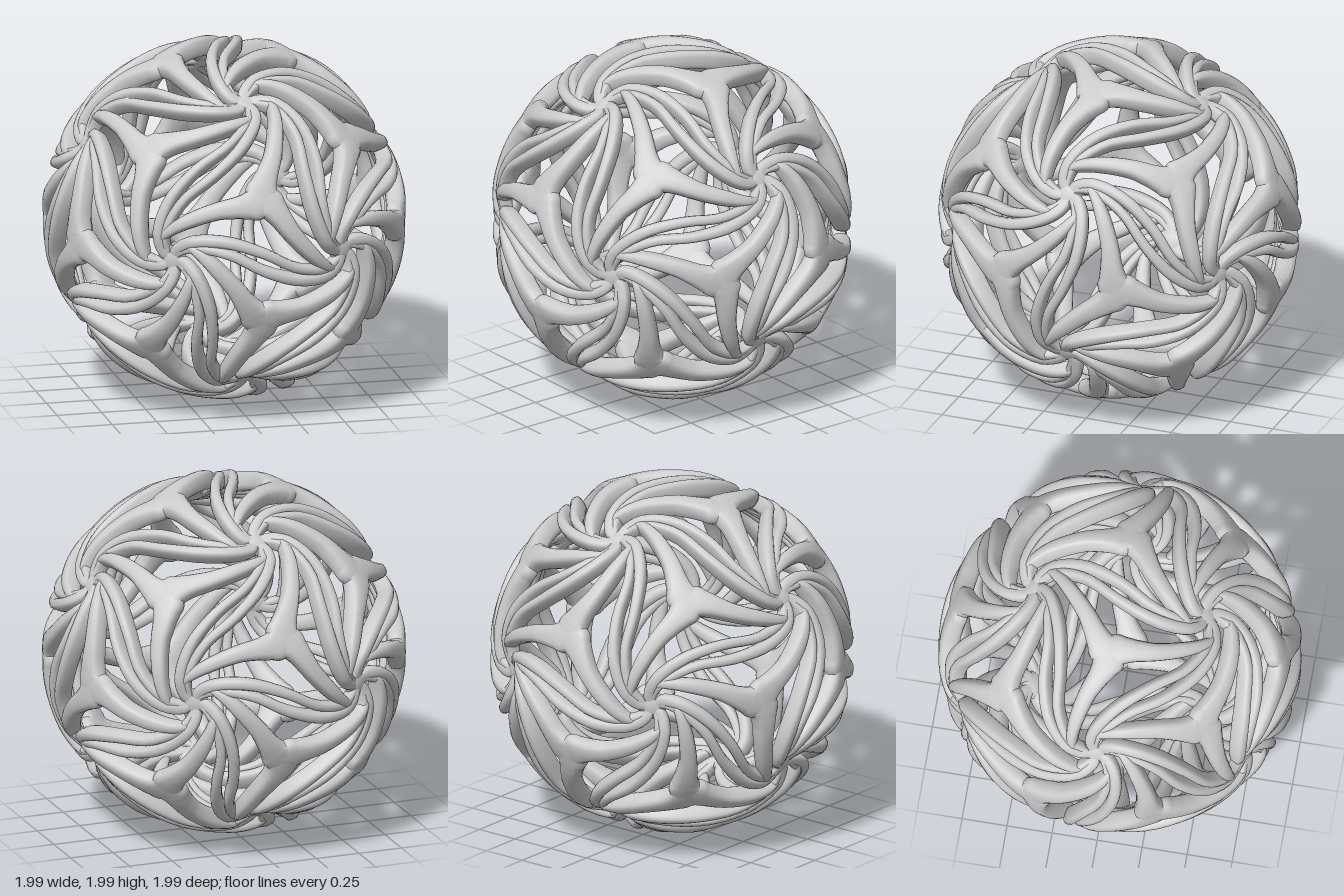
import * as THREE from 'three';

// Swept blade on a sphere. Each key: [along angle, sideways angle, radius, half width, half depth]
function blade(keys, rows = 28, sides = 16) {
  const toPoint = ([s, w, r]) => new THREE.Vector3(
    Math.sin(s) * Math.cos(w), Math.sin(w), Math.cos(s) * Math.cos(w)).multiplyScalar(r);
  const path = new THREE.CatmullRomCurve3(keys.map(toPoint));
  const size = new THREE.CatmullRomCurve3(keys.map(k => new THREE.Vector3(k[3], k[4], 0)));
  const round = x => Math.sign(x) * Math.pow(Math.abs(x), 0.72);
  const pos = [], index = [];
  for (let i = 0; i <= rows; i++) {
    const t = i / rows;
    const p = path.getPoint(t), tangent = path.getTangent(t);
    const out = p.clone().normalize();
    const side = out.clone().cross(tangent).normalize();
    const { x: hw, y: hd } = size.getPoint(t);
    for (let k = 0; k < sides; k++) {
      const a = (k / sides) * Math.PI * 2;
      const q = p.clone()
        .addScaledVector(side, hw * round(Math.cos(a)))
        .addScaledVector(out, hd * round(Math.sin(a)));
      pos.push(q.x, q.y, q.z);
    }
  }
  for (let i = 0; i < rows; i++) {
    for (let k = 0; k < sides; k++) {
      const a = i * sides + k, b = i * sides + (k + 1) % sides;
      index.push(a, b, a + sides, b, b + sides, a + sides);
    }
  }
  const g = new THREE.BufferGeometry();
  g.setAttribute('position', new THREE.Float32BufferAttribute(pos, 3));
  g.setIndex(index);
  g.computeVertexNormals();
  return g;
}

export function createModel() {
  const model = new THREE.Group();
  model.name = 'swirlingSphere';
  const ball = new THREE.Group();
  ball.name = 'lattice';
  ball.position.y = 1;
  model.add(ball);
  const material = new THREE.MeshStandardMaterial({ color: 0xcccccc, side: THREE.DoubleSide });

  // Place a part with its local z pointing out along n and its local x toward u
  function place(geometry, name, n, u) {
    const mesh = new THREE.Mesh(geometry, material);
    const z = n.clone().normalize();
    const x = u.clone().addScaledVector(z, -u.dot(z)).normalize();
    mesh.quaternion.setFromRotationMatrix(
      new THREE.Matrix4().makeBasis(x, z.clone().cross(x), z));
    mesh.name = name;
    ball.add(mesh);
  }

  // Twelve hub directions
  const phi = (1 + Math.sqrt(5)) / 2, hubs = [];
  for (const a of [-1, 1]) for (const b of [-phi, phi]) {
    hubs.push(new THREE.Vector3(0, b, a), new THREE.Vector3(a, 0, b), new THREE.Vector3(b, a, 0));
  }
  hubs.forEach(h => h.normalize());
  const near = (a, b) => a !== b && a.dot(b) > 0.4;

  // S-shaped strand, broad where it leaves one hub and thinner where it meets the next
  const strand = blade([
    [-0.55, 0.0, 0.892, 0.03, 0.03],
    [-0.52, 0.07, 0.908, 0.033, 0.037],
    [-0.42, 0.123, 0.932, 0.034, 0.047],
    [-0.22, 0.125, 0.944, 0.034, 0.053],
    [0.0, 0.052, 0.946, 0.03, 0.051],
    [0.2, -0.052, 0.944, 0.028, 0.048],
    [0.4, -0.085, 0.93, 0.026, 0.042],
    [0.5, -0.055, 0.907, 0.022, 0.034],
    [0.55, 0.0, 0.892, 0.018, 0.028],
  ]);
  // Curved arm of a tripod with a filleted root, ending in a point beside the hub
  const arm = blade([
    [0.0, 0.0, 0.945, 0.092, 0.05],
    [0.05, -0.004, 0.945, 0.092, 0.051],
    [0.09, -0.018, 0.945, 0.075, 0.053],
    [0.15, -0.045, 0.945, 0.061, 0.055],
    [0.25, -0.09, 0.945, 0.05, 0.055],
    [0.42, -0.135, 0.943, 0.042, 0.055],
    [0.56, -0.148, 0.937, 0.03, 0.046],
    [0.68, -0.125, 0.928, 0.004, 0.012],
  ]);
  // Shallow disc at each hub
  const disc = new THREE.SphereGeometry(1, 20, 12);
  disc.scale(0.08, 0.08, 0.038);
  disc.translate(0, 0, 0.897);

  hubs.forEach((a, i) => {
    place(disc, 'hub', a, hubs.find(h => near(a, h)));
    hubs.forEach((b, j) => {
      if (!near(a, b)) return;
      // Both directions of each edge give its pair of strands
      place(strand, 'strand', a.clone().add(b), b.clone().sub(a));
      if (j < i) return;
      for (let k = j + 1; k < hubs.length; k++) {
        const c = hubs[k];
        if (!near(a, c) || !near(b, c)) continue;
        const centre = a.clone().add(b).add(c).normalize();
        for (const tip of [a, b, c]) place(arm, 'tripodArm', centre, tip);
      }
    });
  });
  return model;
}
